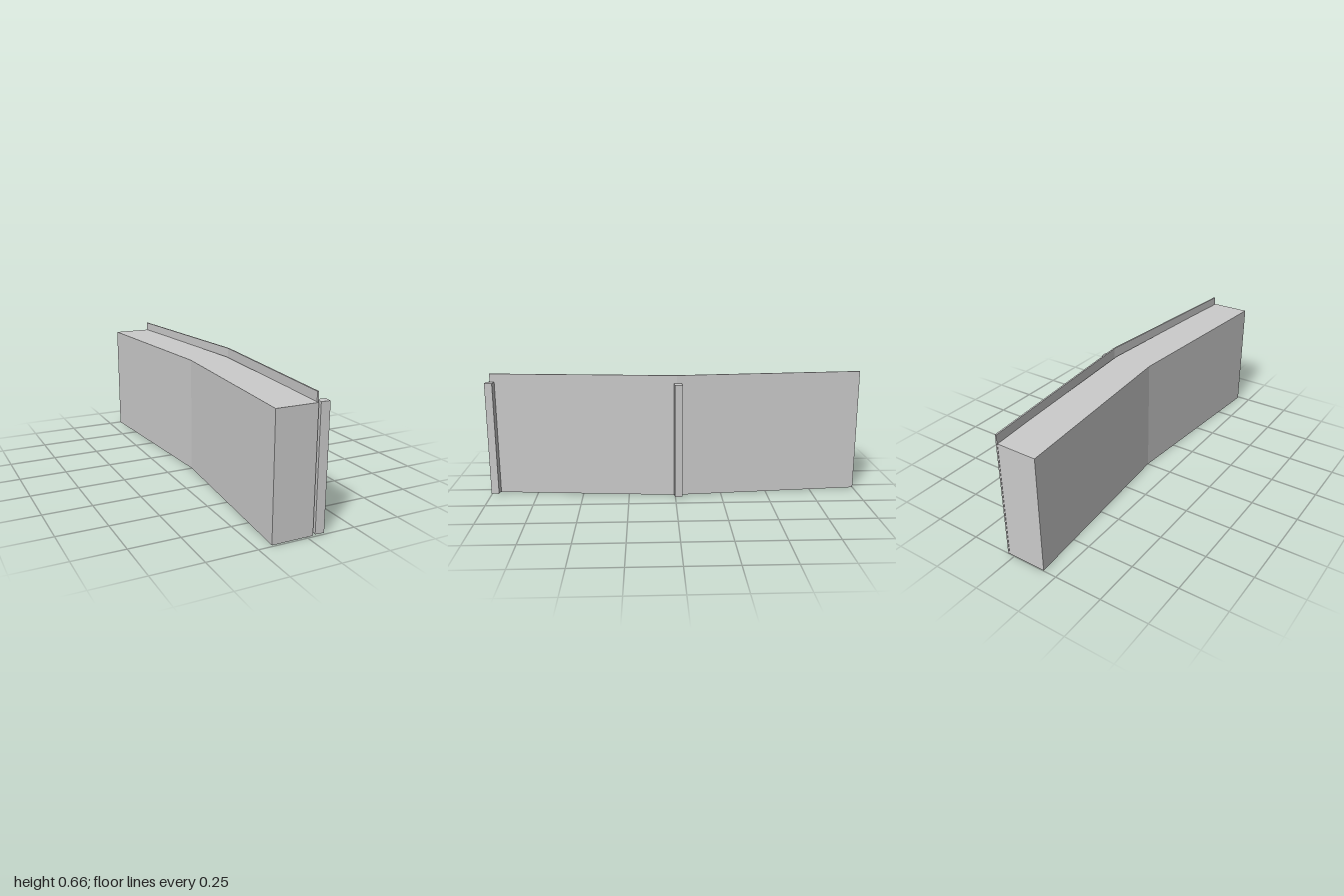
import * as THREE from 'three';

const material = new THREE.MeshStandardMaterial({ color: 0xcccccc, flatShading: true });

// Extrude a plan outline of [x, z] points upward from y = 0
function prism(name, outline, height) {
  const shape = new THREE.Shape(outline.map(([x, z]) => new THREE.Vector2(x, -z)));
  const geometry = new THREE.ExtrudeGeometry(shape, { depth: height, bevelEnabled: false });
  geometry.rotateX(-Math.PI / 2);
  const mesh = new THREE.Mesh(geometry, material);
  mesh.name = name;
  return mesh;
}

// Square post turned to line up with its panel
function post(name, x, z, angle) {
  const mesh = new THREE.Mesh(new THREE.BoxGeometry(0.045, 0.611, 0.041), material);
  mesh.name = name;
  mesh.position.set(x, 0.3125, z);
  mesh.rotation.y = angle;
  return mesh;
}

export function createModel() {
  const group = new THREE.Group();
  group.name = 'bentWall';

  // Thick wall, bent at the middle
  group.add(prism('wallCore', [
    [-0.178, 0.99], [0.033, 0.99], [0.106, 0], [0.033, -0.998], [-0.178, -0.998], [-0.105, 0],
  ], 0.614));

  // Thin facing panels standing a little above the wall
  group.add(prism('frontPanel', [
    [0.03, 0.98], [0.038, 0.98], [0.125, -0.008], [0.117, -0.008],
  ], 0.66));
  group.add(prism('backPanel', [
    [0.116, 0], [0.124, 0], [0.038, -1], [0.03, -1],
  ], 0.66));

  // Posts on the outer face
  group.add(post('frontPost', 0.065, 0.977, -0.087));
  group.add(post('middlePost', 0.153, -0.016, 0.087));

  return group;
}
